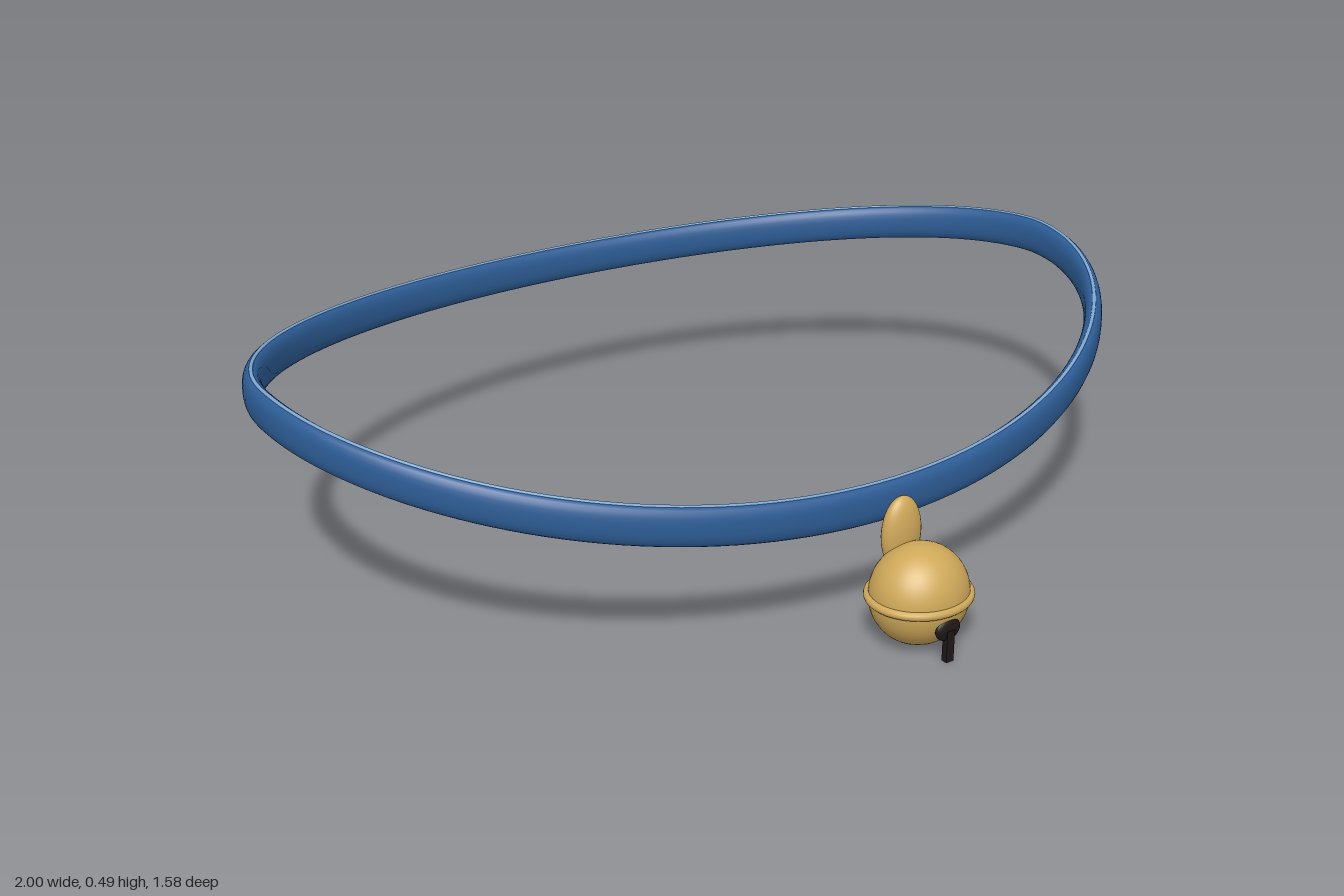
import * as THREE from 'three';

const material = (name, color) => {
  const m = new THREE.MeshStandardMaterial({ color });
  m.name = name;
  return m;
};

// Height of the collar centreline: highest at the sides, dipping to front and back
const heightAt = (s) => 0.443 - (s > 0 ? 0.166 * s ** 1.75 : 0.084 * (-s) ** 1.4);

// Closed loop with a rounded section swept around the neck ellipse
function neckLoop(halfWidth, halfHeight, lift) {
  const N = 160, M = 24, pos = [], index = [];
  const soft = (v) => Math.sign(v) * Math.abs(v) ** 0.85;
  for (let i = 0; i < N; i++) {
    const t = (i / N) * Math.PI * 2, c = Math.cos(t), s = Math.sin(t);
    // outward direction of the ellipse
    const n = new THREE.Vector2(c / 0.98, s / 0.683).normalize();
    for (let j = 0; j < M; j++) {
      const a = (j / M) * Math.PI * 2;
      const u = halfWidth * soft(Math.cos(a));
      pos.push(0.98 * c + n.x * u,
        heightAt(s) + lift + halfHeight * soft(Math.sin(a)),
        -0.084 + 0.683 * s + n.y * u);
      const i2 = (i + 1) % N, j2 = (j + 1) % M;
      const p = i * M + j, q = i * M + j2, r = i2 * M + j, w = i2 * M + j2;
      index.push(p, q, r, q, w, r);
    }
  }
  const g = new THREE.BufferGeometry();
  g.setAttribute('position', new THREE.Float32BufferAttribute(pos, 3));
  g.setIndex(index);
  g.computeVertexNormals();
  return g;
}

export function createModel() {
  const blue = material('collar blue', 0x2d5d96);
  const paleBlue = material('piping pale blue', 0x7ba6d2);
  const gold = material('bell gold', 0xcfa959);
  const dark = material('slot dark', 0x1e1718);

  const model = new THREE.Group();
  model.name = 'belledCollar';
  const add = (parent, name, geometry, mat, x = 0, y = 0, z = 0) => {
    const mesh = new THREE.Mesh(geometry, mat);
    mesh.name = name;
    mesh.position.set(x, y, z);
    parent.add(mesh);
    return mesh;
  };

  // Collar band with fine piping along its top edge
  add(model, 'collarBand', neckLoop(0.02, 0.041, 0), blue);
  add(model, 'topPiping', neckLoop(0.004, 0.003, 0.0405), paleBlue);

  // Bell, slightly flattened front to back
  const bell = new THREE.Group();
  bell.name = 'bell';
  bell.position.set(0, 0.107, 0.688);
  model.add(bell);
  add(bell, 'bellBody', new THREE.SphereGeometry(0.103, 40, 28), gold).scale.z = 0.92;
  const rim = add(bell, 'bellRim', new THREE.TorusGeometry(0.103, 0.009, 12, 56).rotateX(Math.PI / 2), gold);
  rim.scale.z = 0.92;

  // Hanger joining the bell to the collar
  const hanger = add(model, 'bellHanger', new THREE.SphereGeometry(1, 28, 20), gold, 0, 0.212, 0.627);
  hanger.scale.set(0.046, 0.078, 0.026);

  // Sound hole and the slot running down from it
  const hole = add(model, 'soundHole', new THREE.SphereGeometry(1, 20, 14), dark, 0, 0.067, 0.776);
  hole.scale.set(0.03, 0.024, 0.01);
  add(model, 'soundSlot', new THREE.BoxGeometry(0.018, 0.068, 0.014), dark, 0, 0.034, 0.78);

  return model;
}
